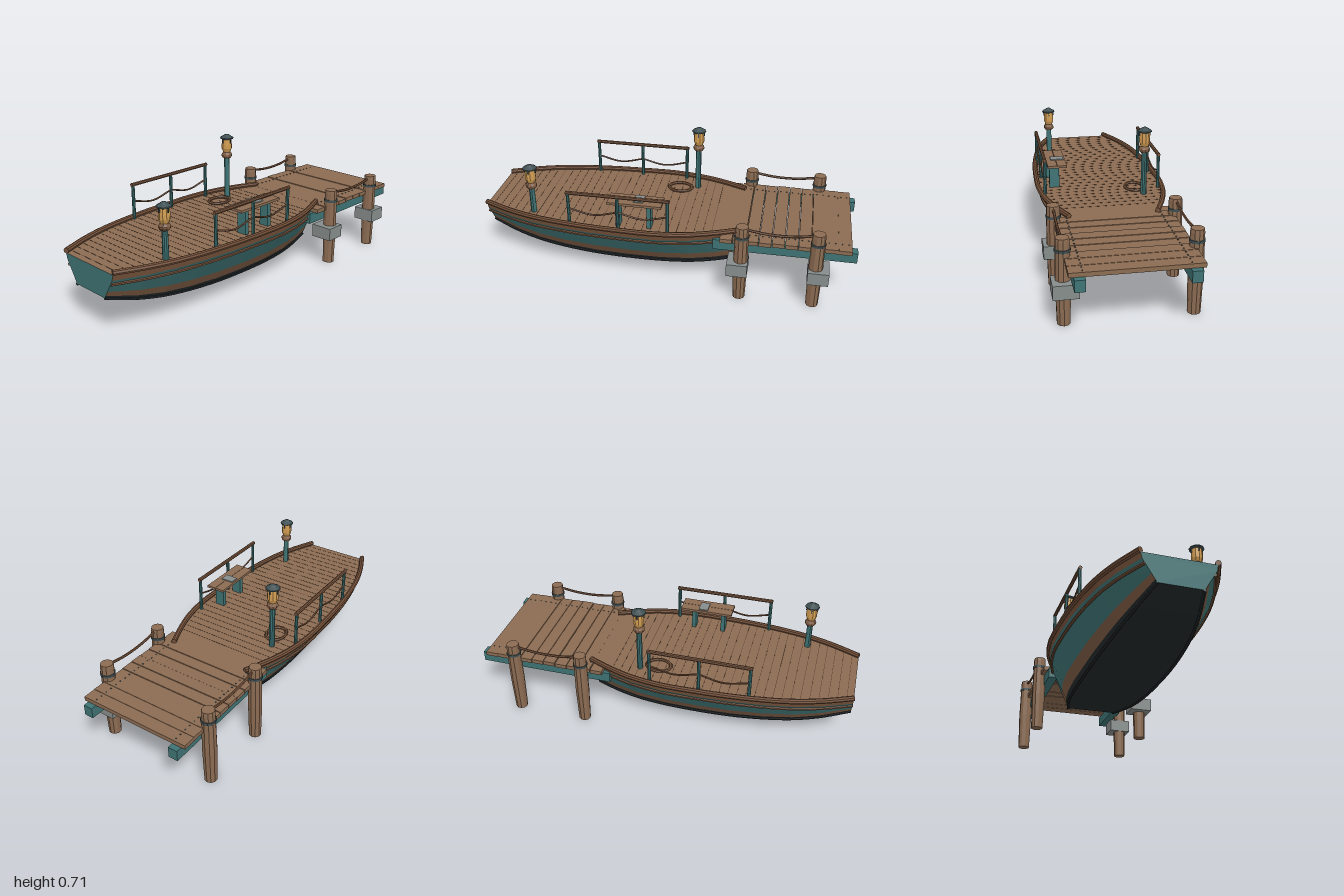
import * as THREE from 'three';

const mat = (name, color, side = THREE.FrontSide) => {
  const m = new THREE.MeshStandardMaterial({ color, flatShading: true, side });
  m.name = name;
  return m;
};

export function createModel() {
  const wood = mat('weathered wood', 0x8b6b52);
  const railWood = mat('rail wood', 0x735039);
  const stripeWood = mat('stripe wood', 0x7d5b43);
  const teal = mat('teal paint', 0x3f7374);
  const tar = mat('tarred black', 0x23292b);
  const amber = mat('amber glass', 0xd09c52);
  const iron = mat('dark iron', 0x3f4f52);
  const stone = mat('grey block', 0x868d8b);
  const seamDark = mat('seam brown', 0x4f3727);

  const root = new THREE.Group();
  const model = new THREE.Group();
  model.name = 'boatAndDock';
  model.position.x = -0.006;
  root.add(model);

  const add = (name, geo, m, x = 0, y = 0, z = 0, parent = model) => {
    const mesh = new THREE.Mesh(geo, m);
    mesh.name = name;
    mesh.position.set(x, y, z);
    parent.add(mesh);
    return mesh;
  };
  const box = (name, m, w, h, d, x, y, z, parent) =>
    add(name, new THREE.BoxGeometry(w, h, d), m, x, y, z, parent);
  const V = (x, y, z) => new THREE.Vector3(x, y, z);
  // Round bar along points, closed with end discs
  const bar = (name, m, pts, r, seg = 24, sides = 8) => {
    const curve = new THREE.CatmullRomCurve3(pts);
    add(name, new THREE.TubeGeometry(curve, seg, r, sides), m);
    for (const [t, s] of [[0, -1], [1, 1]]) {
      const p = curve.getPoint(t);
      const cap = add(name + 'End', new THREE.CircleGeometry(r, sides), m, p.x, p.y, p.z);
      cap.quaternion.setFromUnitVectors(V(0, 0, 1), curve.getTangent(t).multiplyScalar(s));
    }
  };

  // Hull stations: z, top half width, bottom half width, bottom height
  const stations = [
    [-0.39, 0.225, 0.135, 0.13], [-0.27, 0.275, 0.165, 0.115], [-0.14, 0.315, 0.185, 0.103],
    [0.02, 0.338, 0.195, 0.097], [0.2, 0.338, 0.197, 0.097], [0.38, 0.33, 0.195, 0.103],
    [0.55, 0.312, 0.185, 0.115], [0.7, 0.285, 0.17, 0.133], [0.84, 0.243, 0.145, 0.16],
    [0.99, 0.18, 0.108, 0.202]];
  const KNUCKLE = 0.31, DECK = 0.34;
  // t: 0 chine, 1 knuckle, 2 deck edge
  const hullPoint = ([z, w, b, y], t, s) => t <= 1
    ? V(s * (b + (w - 0.006 - b) * t), y + (KNUCKLE - y) * t, z)
    : V(s * (w - 0.006 + 0.006 * (t - 1)), KNUCKLE + (DECK - KNUCKLE) * (t - 1), z);
  const line = (t, s) => stations.map(st => hullPoint(st, t, s));
  // Ruled skin between two lines, facing dz x (b - a)
  const skin = (name, a, b, m) => {
    const p = [];
    for (let i = 0; i < a.length - 1; i++)
      for (const v of [a[i], a[i + 1], b[i], b[i], a[i + 1], b[i + 1]]) p.push(v.x, v.y, v.z);
    const g = new THREE.BufferGeometry();
    g.setAttribute('position', new THREE.Float32BufferAttribute(p, 3));
    g.computeVertexNormals();
    add(name, g, m);
  };
  const bands = [['bottomBand', 0, 0.13, tar], ['stripeBand', 0.13, 0.37, stripeWood],
    ['hullSide', 0.37, 1, teal], ['sheerPlank', 1, 2, railWood]];
  for (const [name, lo, hi, m] of bands) {
    skin(name, line(hi, 1), line(lo, 1), m);
    skin(name, line(lo, -1), line(hi, -1), m);
  }
  skin('hullBottom', line(0, 1), line(0, -1), tar);
  skin('deck', line(2, -1), line(2, 1), wood);

  // Flat bow and stern ends
  for (const [name, st, turn] of [['bowTransom', stations[9], 0], ['sternTransom', stations[0], Math.PI]]) {
    const outline = [[0, -1], [0, 1], [1, 1], [2, 1], [2, -1], [1, -1]].map(([t, s]) => {
      const p = hullPoint(st, t, s);
      return new THREE.Vector2(p.x, p.y);
    });
    add(name, new THREE.ShapeGeometry(new THREE.Shape(outline)), teal, 0, 0, st[0]).rotation.y = turn;
  }

  // Deck plank seams
  const halfWidth = z => {
    const i = Math.max(1, stations.findIndex(s => s[0] >= z));
    const a = stations[i - 1], b = stations[i];
    return a[1] + (b[1] - a[1]) * (z - a[0]) / (b[0] - a[0]);
  };
  for (let z = -0.26; z < 0.98; z += 0.045)
    box('deckSeam', seamDark, 2 * halfWidth(z) - 0.02, 0.001, 0.002, 0, DECK + 0.0003, z);

  for (const s of [-1, 1]) {
    // Gunwale, rub rail and chine trim
    bar('gunwale', railWood, stations.map(([z, w]) => V(s * w, 0.351, z)), 0.014, 40);
    bar('rubRail', railWood, stations.map(st => {
      const p = hullPoint(st, (0.287 - st[3]) / (KNUCKLE - st[3]), s);
      return V(p.x + s * 0.003, p.y, p.z);
    }), 0.008, 40, 6);
    bar('chineTrim', tar, line(0, s), 0.008, 40, 6);

    // Side handrail with slack ropes
    const zs = [0.48, 0.22, -0.04], x = s * 0.309;
    for (const z of zs)
      add('railPost', new THREE.CylinderGeometry(0.009, 0.009, 0.19, 8), teal, x, 0.435, z);
    bar('handRail', railWood, [V(x, 0.53, 0.49), V(x, 0.53, -0.05)], 0.01, 1);
    for (let i = 0; i < 2; i++)
      bar('railRope', railWood, [V(x, 0.44, zs[i]), V(x, 0.412, zs[i] - 0.13), V(x, 0.44, zs[i + 1])], 0.005, 10, 5);
  }

  // Lanterns on posts
  const lathe = pts => new THREE.LatheGeometry(pts.map(p => new THREE.Vector2(...p)), 10);
  for (const [x, z, h] of [[-0.212, -0.12, 0.575], [0.212, 0.71, 0.485]]) {
    const lamp = new THREE.Group();
    lamp.name = 'lantern';
    lamp.position.set(x, 0, z);
    model.add(lamp);
    add('lampPost', new THREE.CylinderGeometry(0.015, 0.016, h - DECK, 10), teal, 0, (h + DECK) / 2, 0, lamp);
    add('lampCollar', lathe([[0, 0], [0.023, 0], [0.03, 0.01], [0.03, 0.02], [0.021, 0.034], [0, 0.034]]),
      stripeWood, 0, h, 0, lamp);
    add('lampGlass', lathe([[0.02, 0.032], [0.029, 0.055], [0.029, 0.075], [0.026, 0.112]]), amber, 0, h, 0, lamp);
    add('lampRoof', lathe([[0, 0.108], [0.028, 0.108], [0.039, 0.113], [0.037, 0.118], [0.02, 0.128], [0.012, 0.134], [0, 0.136]]),
      iron, 0, h, 0, lamp);
    for (let i = 0; i < 4; i++) {
      const a = i * Math.PI / 2;
      box('lampHook', iron, 0.005, 0.022, 0.005, Math.sin(a) * 0.029, h + 0.099, Math.cos(a) * 0.029, lamp);
    }
  }

  // Small table with two panel legs
  for (const x of [0.21, 0.263]) box('tableTop', wood, 0.051, 0.013, 0.285, x, 0.475, 0.14);
  for (const z of [0.065, 0.23]) box('tableLeg', teal, 0.054, 0.13, 0.022, 0.249, 0.404, z);
  box('tablePlate', stone, 0.07, 0.006, 0.05, 0.228, 0.484, 0.122);

  // Rope ring lying on the deck
  const ring = add('ropeRing', new THREE.TorusGeometry(0.05, 0.008, 6, 18), railWood, -0.18, 0.349, -0.025);
  ring.rotation.x = Math.PI / 2;
  ring.scale.y = 1.28;

  // Dock planks, nails and stringers
  for (let i = 0; i < 10; i++) {
    const z = -0.937 + i * 0.0665, y = 0.328 + (i % 3 - 1) * 0.0015;
    box('dockPlank', wood, 0.606, 0.022, i < 3 ? 0.066 : 0.063, 0, y, z);
    for (const x of [-0.24, 0.24]) for (const dz of [-0.016, 0.016])
      add('nail', new THREE.CylinderGeometry(0.004, 0.004, 0.003, 6), iron, x, y + 0.012, z + dz);
  }
  for (const s of [-1, 1]) box('dockStringer', teal, 0.05, 0.057, 0.73, s * 0.256, 0.288, -0.635);

  // Piles with bands, side ropes and grey blocks
  for (const s of [-1, 1]) {
    const x = s * 0.307;
    for (const z of [-0.42, -0.8]) {
      add('pile', lathe([[0, 0], [0.032, 0], [0.037, 0.2], [0.034, 0.41], [0.032, 0.428], [0, 0.428]]), wood, x, 0, z);
      add('pileBand', new THREE.CylinderGeometry(0.038, 0.038, 0.013, 12), iron, x, 0.37, z);
    }
    bar('dockRope', railWood, [V(x, 0.414, -0.43), V(x, 0.398, -0.53), V(x, 0.394, -0.61), V(x, 0.398, -0.69), V(x, 0.414, -0.79)], 0.007, 14, 6);
  }
  for (const z of [-0.405, -0.815]) box('pileBlock', stone, 0.122, 0.07, 0.107, 0.3, 0.19, z);

  return root;
}
